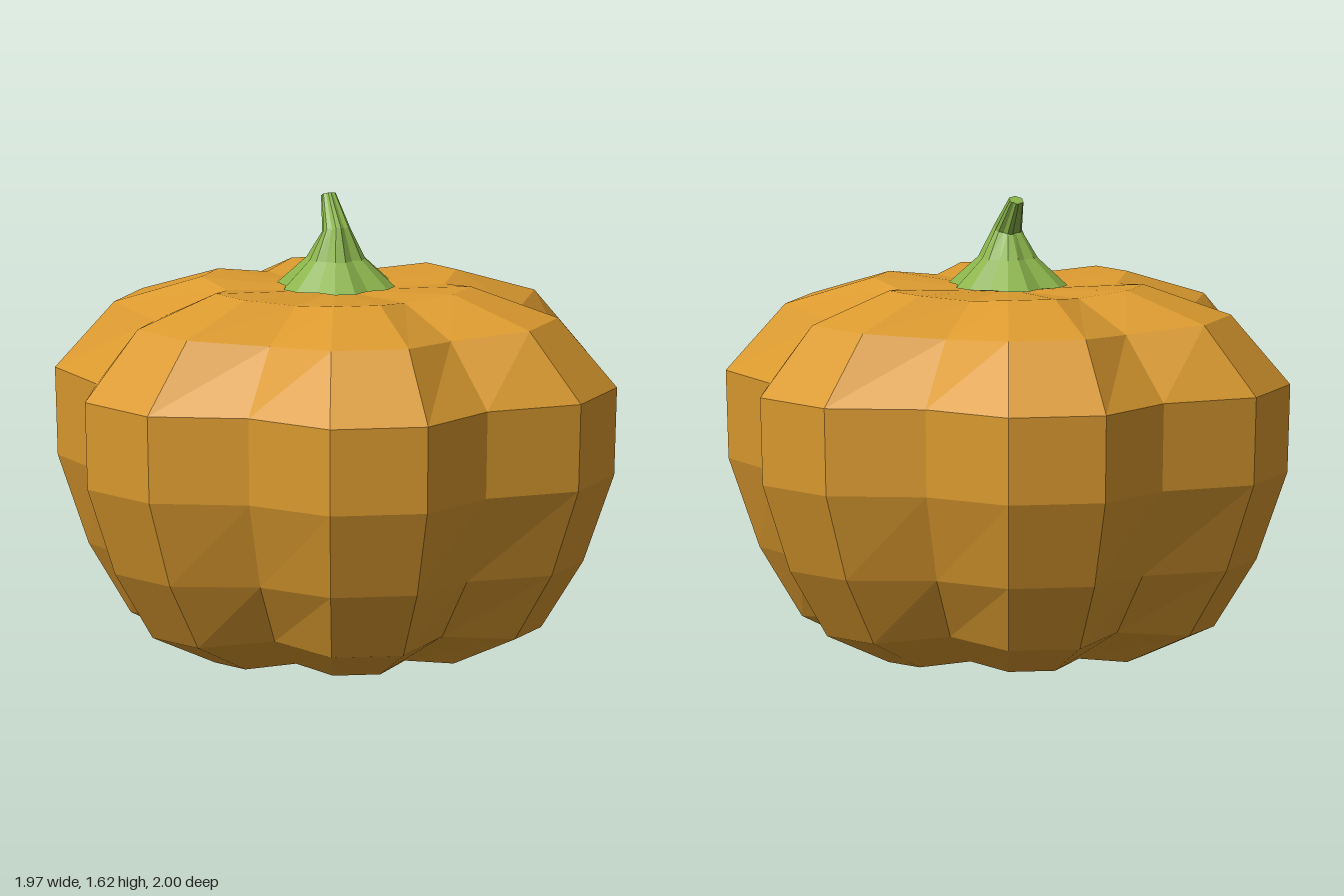
import * as THREE from 'three';

const SIDES = 18;
// Six lobes: two ridge corners, then one groove corner.
const isGroove = (j) => j % 3 === 2;
const GROOVE = 0.845;

// Lofts lobed rings from bottom to top, with flat facets.
// Ring: y height, r ridge radius, z centre, dip = groove height offset,
// tilt = rise per unit of z away from the ring centre.
function loftLobes(rings) {
  const point = ({ y, r, z = 0, dip = 0, tilt = 0, groove = GROOVE }, j) => {
    const k = j % SIDES;
    const a = (k / SIDES) * Math.PI * 2;
    const radius = r * (isGroove(k) ? groove : 1);
    const dz = -Math.cos(a) * radius;
    return [Math.sin(a) * radius, y + (isGroove(k) ? dip : 0) + tilt * dz, z + dz];
  };
  const positions = [];
  for (let i = 0; i < rings.length - 1; i++) {
    const low = rings[i], high = rings[i + 1];
    for (let j = 0; j < SIDES; j++) {
      const a = point(low, j), b = point(low, j + 1);
      const c = point(high, j), d = point(high, j + 1);
      if (low.r > 0) positions.push(...a, ...c, ...b);
      if (high.r > 0) positions.push(...b, ...c, ...d);
    }
  }
  const geometry = new THREE.BufferGeometry();
  geometry.setAttribute('position', new THREE.Float32BufferAttribute(positions, 3));
  geometry.computeVertexNormals();
  return geometry;
}

export function createModel() {
  const orange = new THREE.MeshStandardMaterial({ color: 0xdb9a2f });
  orange.name = 'pumpkin orange';
  const green = new THREE.MeshStandardMaterial({ color: 0x8ab34a });
  green.name = 'stem green';

  // Squat ribbed body, slightly hollow at both poles
  const body = new THREE.Mesh(loftLobes([
    { y: 0.03, r: 0 },
    { y: 0, r: 0.48, dip: 0.02, groove: 0.8 },
    { y: 0.11, r: 0.73, dip: 0.025, groove: 0.81 },
    { y: 0.35, r: 0.88, groove: 0.83 },
    { y: 0.66, r: 0.99 },
    { y: 0.97, r: 1 },
    { y: 1.21, r: 0.79, dip: -0.02, groove: 0.81 },
    { y: 1.31, r: 0.48, dip: -0.02, groove: 0.8 },
    { y: 1.28, r: 0 },
  ]), orange);
  body.name = 'body';

  // Fluted stem, flared at the base and bent backward
  const stem = new THREE.Mesh(loftLobes([
    { y: 1.27, r: 0 },
    { y: 1.3, r: 0.21 },
    { y: 1.395, r: 0.105 },
    { y: 1.495, r: 0.05, z: 0.003, tilt: 0.3 },
    { y: 1.606, r: 0.026, z: -0.083, tilt: 0.4 },
    { y: 1.606, r: 0, z: -0.083 },
  ]), green);
  stem.name = 'stem';

  const pumpkin = new THREE.Group();
  pumpkin.name = 'pumpkin';
  pumpkin.add(body, stem);
  return pumpkin;
}
